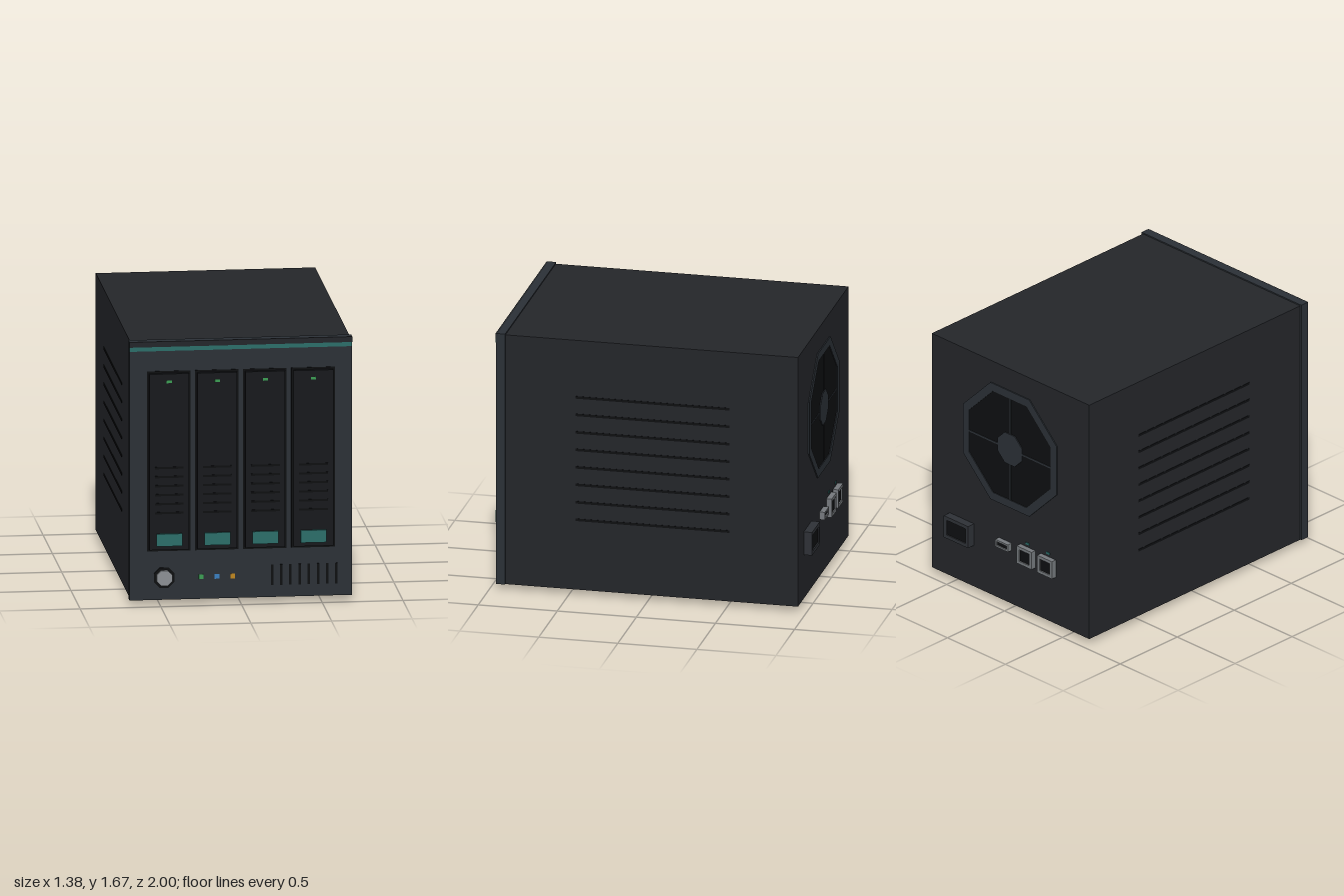
import * as THREE from 'three';

const mat = (color, extra = {}) => new THREE.MeshStandardMaterial({ color, ...extra });
const M = {
  shell: mat(0x24262a), panel: mat(0x2b3036), trim: mat(0x23262a), teal: mat(0x2b6d69),
  bay: mat(0x17191c), dark: mat(0x0e0f11), metal: mat(0x75797d), button: mat(0x8c9094),
  socket: mat(0x2e3136), green: mat(0x3c9e54), blue: mat(0x3a7fc0), amber: mat(0xc0861f),
};

export function createModel() {
  const root = new THREE.Group();

  function add(name, geometry, material, parent = root) {
    const mesh = new THREE.Mesh(geometry, material);
    mesh.name = name;
    parent.add(mesh);
    return mesh;
  }

  // Box given by its min/max extents on each axis
  function box(name, material, x0, x1, y0, y1, z0, z1, parent = root) {
    const mesh = add(name, new THREE.BoxGeometry(x1 - x0, y1 - y0, z1 - z0), material, parent);
    mesh.position.set((x0 + x1) / 2, (y0 + y1) / 2, (z0 + z1) / 2);
    return mesh;
  }

  // Box given by its centre and size in x and y, and its extents in z
  const plate = (name, material, x, y, w, h, z0, z1, parent = root) =>
    box(name, material, x - w / 2, x + w / 2, y - h / 2, y + h / 2, z0, z1, parent);

  // Flat-sided octagonal disc facing along z
  function octagon(name, material, x, y, apothem, z0, z1, parent = root) {
    const r = apothem / Math.cos(Math.PI / 8);
    const geometry = new THREE.CylinderGeometry(r, r, z1 - z0, 8).toNonIndexed();
    geometry.rotateY(Math.PI / 8).rotateX(Math.PI / 2);
    geometry.computeVertexNormals();
    const mesh = add(name, geometry, material, parent);
    mesh.position.set(x, y, (z0 + z1) / 2);
    return mesh;
  }

  // Rectangular tube along z: outer size w x h with a rim of the given width
  function frameGeometry(w, h, rim, depth) {
    const rect = (P, a, b) => {
      const p = new P();
      p.moveTo(-a, -b).lineTo(a, -b).lineTo(a, b).lineTo(-a, b).closePath();
      return p;
    };
    const shape = rect(THREE.Shape, w / 2, h / 2);
    shape.holes.push(rect(THREE.Path, w / 2 - rim, h / 2 - rim));
    return new THREE.ExtrudeGeometry(shape, { depth, bevelEnabled: false });
  }

  // Housing: thin walls, open underneath
  const back = -0.947, t = 0.012;
  const housing = new THREE.Group();
  housing.name = 'housing';
  root.add(housing);
  box('topWall', M.shell, -0.68, 0.68, 1.66 - t, 1.66, back, 0.91, housing);
  box('backWall', M.shell, -0.68, 0.68, 0.035, 1.66 - t, back, back + t, housing);
  for (const s of [-1, 1]) {
    const x = s * (0.68 - t / 2);
    box('sideWall', M.shell, x - t / 2, x + t / 2, 0.035, 1.66 - t, back + t, 0.91, housing);
    for (let i = 0; i < 8; i++) {
      const y = 0.49 + i * 0.114;
      box('sideVent', M.dark, s * 0.68 - 0.002, s * 0.68 + 0.002, y - 0.008, y + 0.008, -0.515, 0.458, housing);
    }
  }

  // Front panel with its trim
  box('frontPanel', M.panel, -0.69, 0.69, 0.035, 1.668, 0.903, 0.96);
  box('topTrim', M.trim, -0.69, 0.69, 1.634, 1.668, 0.95, 0.963);
  box('accentStripe', M.teal, -0.689, 0.689, 1.608, 1.634, 0.95, 0.963);

  // Four drive bays
  for (let i = 0; i < 4; i++) {
    const bay = new THREE.Group();
    bay.name = 'driveBay';
    bay.position.x = -0.447 + i * 0.298;
    root.add(bay);
    plate('bayRecess', M.dark, 0, 0.912, 0.27, 1.138, 0.95, 0.963, bay);
    plate('driveTray', M.bay, 0, 0.912, 0.245, 1.112, 0.95, 0.987, bay);
    plate('trayLatch', M.teal, 0, 0.42, 0.16, 0.078, 0.97, 1.0, bay);
    plate('trayLight', M.green, 0, 1.418, 0.032, 0.016, 0.97, 0.99, bay);
    for (let j = 0; j < 6; j++)
      plate('trayVent', M.dark, 0, 0.589 + j * 0.057, 0.178, 0.013, 0.97, 0.989, bay);
  }

  // Power button, status lights and lower front vents
  octagon('buttonRing', M.dark, -0.475, 0.175, 0.064, 0.95, 0.968);
  octagon('powerButton', M.button, -0.475, 0.175, 0.048, 0.95, 0.985);
  [M.green, M.blue, M.amber].forEach((m, i) =>
    plate('statusLight', m, -0.247 + i * 0.098, 0.175, 0.029, 0.029, 0.95, 0.967));
  for (let i = 0; i < 8; i++)
    plate('frontVent', M.dark, 0.193 + i * 0.057, 0.175, 0.015, 0.13, 0.95, 0.963);

  // Rear fan: octagonal ring, dark opening, spokes and hub
  const fan = new THREE.Group();
  fan.name = 'rearFan';
  fan.position.set(0, 1.105, 0);
  root.add(fan);
  octagon('fanOpening', M.dark, 0, 0, 0.36, back - 0.002, back + 0.005, fan);
  const octPath = (P, a) => {
    const pts = [];
    for (let i = 0; i < 8; i++) {
      const ang = (i + 0.5) * Math.PI / 4, r = a / Math.cos(Math.PI / 8);
      pts.push(new THREE.Vector2(r * Math.cos(ang), r * Math.sin(ang)));
    }
    return new P(pts);
  };
  const ringShape = octPath(THREE.Shape, 0.405);
  ringShape.holes.push(octPath(THREE.Path, 0.352));
  add('fanRing', new THREE.ExtrudeGeometry(ringShape, { depth: 0.012, bevelEnabled: false }), M.panel, fan)
    .position.z = back - 0.007;
  plate('fanSpoke', M.panel, 0, 0, 0.012, 0.71, back - 0.005, back, fan);
  plate('fanSpoke', M.panel, 0, 0, 0.71, 0.012, back - 0.005, back, fan);
  octagon('fanHub', M.panel, 0, 0, 0.105, back - 0.008, back, fan);

  // Rear connectors: a hollow rim with a dark floor
  function port(name, material, x, y, w, h, rim, zEnd) {
    const g = new THREE.Group();
    g.name = name;
    g.position.set(x, y, 0);
    root.add(g);
    add('rim', frameGeometry(w, h, rim, back - zEnd), material, g).position.z = zEnd;
    plate('opening', M.dark, 0, 0, w - rim, h - rim, zEnd + 0.008, back, g);
  }
  port('powerSocket', M.socket, 0.42, 0.395, 0.21, 0.15, 0.024, -1.0);
  port('smallPort', M.metal, 0.045, 0.43, 0.11, 0.05, 0.012, -0.981);
  for (const x of [-0.15, -0.327]) {
    port('networkPort', M.metal, x, 0.418, 0.128, 0.12, 0.02, -0.981);
    plate('portLight', M.teal, x, 0.502, 0.03, 0.014, back - 0.004, back);
  }

  // Four feet, hollow underneath
  for (const x of [-0.49, 0.49]) for (const z of [-0.68, 0.7]) {
    const foot = new THREE.Group();
    foot.name = 'foot';
    foot.position.set(x, 0, z);
    root.add(foot);
    add('footRim', frameGeometry(0.162, 0.162, 0.025, 0.036).rotateX(-Math.PI / 2), M.bay, foot);
    box('footPad', M.dark, -0.06, 0.06, 0.012, 0.036, -0.06, 0.06, foot);
  }

  return root;
}
